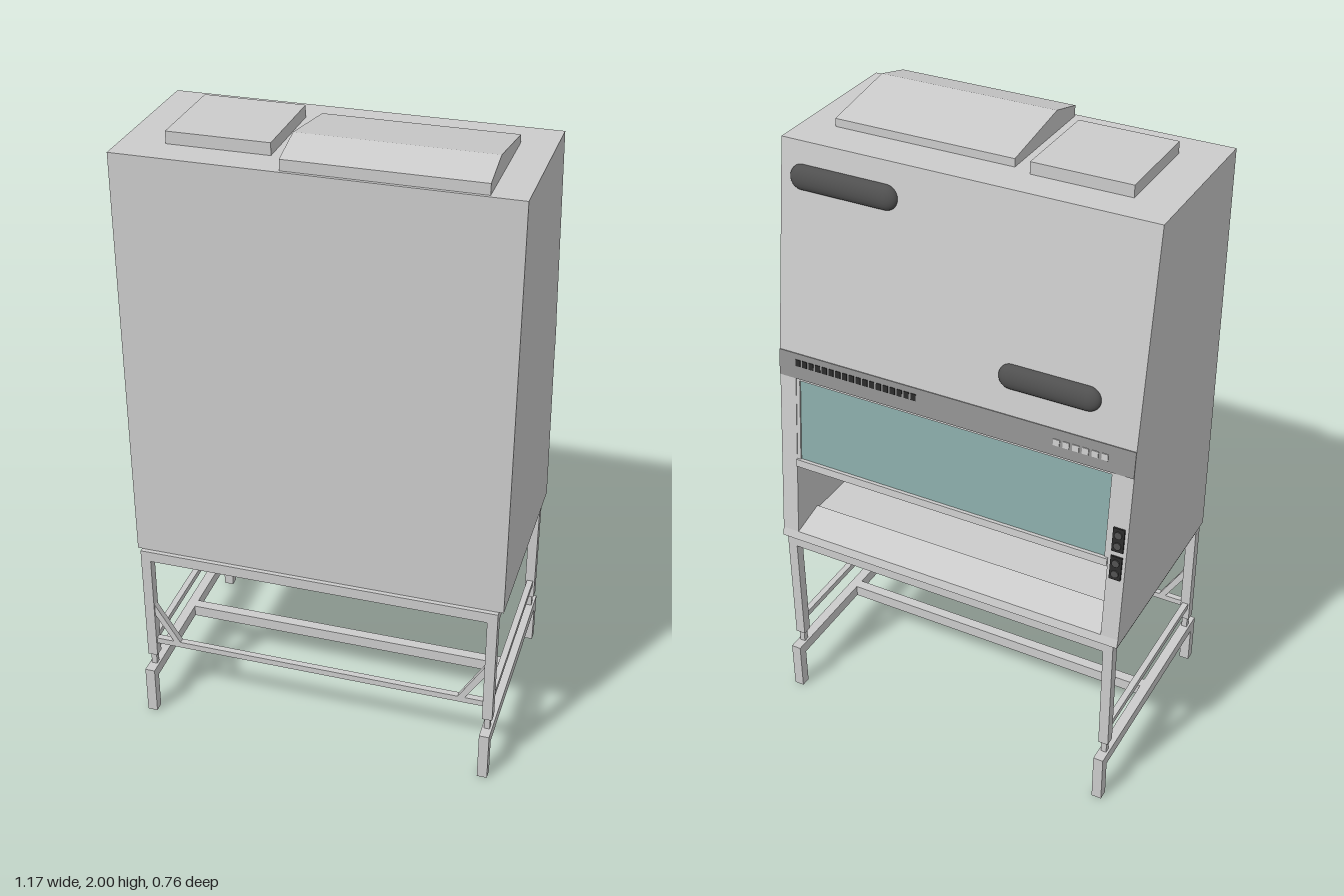
import * as THREE from 'three';

const mat = (color) => new THREE.MeshStandardMaterial({ color, flatShading: true });
const grey = mat(0xcccccc), bandGrey = mat(0x929292), dark = mat(0x505050), black = mat(0x2a2a2a), glassMat = mat(0x8aaba8);

// Outline of the sloping working face as [z, y], bottom to top
const FACE = [[-0.352, 0.615], [-0.345, 0.642], [-0.283, 1.28], [-0.188, 1.935]];
const W = 0.586, IN = 0.53, BACK = 0.332;

function faceAt(y) {
  let i = 0;
  while (i < FACE.length - 2 && y > FACE[i + 1][1]) i++;
  const [z0, y0] = FACE[i], [z1, y1] = FACE[i + 1];
  const slope = (z1 - z0) / (y1 - y0);
  return { z: z0 + slope * (y - y0), tilt: Math.atan(slope) };
}

export function createModel() {
  const model = new THREE.Group();

  const add = (name, geometry, material = grey, parent = model) => {
    const mesh = new THREE.Mesh(geometry, material);
    mesh.name = name;
    parent.add(mesh);
    return mesh;
  };
  const group = (name) => {
    const g = new THREE.Group();
    g.name = name;
    model.add(g);
    return g;
  };
  // Box given by its limits
  const box = (name, x0, x1, y0, y1, z0, z1, material = grey, parent = model) => {
    const m = add(name, new THREE.BoxGeometry(x1 - x0, y1 - y0, z1 - z0), material, parent);
    m.position.set((x0 + x1) / 2, (y0 + y1) / 2, (z0 + z1) / 2);
    return m;
  };
  // [z, y] outline swept along x
  const sweep = (name, points, x0, x1, material = grey, parent = model) => {
    const shape = new THREE.Shape(points.map(([z, y]) => new THREE.Vector2(-z, y)));
    const g = new THREE.ExtrudeGeometry(shape, { depth: x1 - x0, bevelEnabled: false });
    g.rotateY(Math.PI / 2).translate(x0, 0, 0);
    return add(name, g, material, parent);
  };
  // Lay a part on the sloping face, standing out by a given amount
  const onFace = (mesh, x, y, out = 0) => {
    const f = faceAt(y);
    mesh.position.set(x, y, f.z - out);
    mesh.rotation.x = f.tilt;
    return mesh;
  };

  // Cabinet shell: side walls, upper housing, rear wall, work floor
  const cabinet = group('cabinet');
  for (const [x0, x1] of [[-W, -IN], [IN, W]])
    sweep('sideWall', [...FACE, [BACK, 1.935], [BACK, 0.615]], x0, x1, grey, cabinet);
  sweep('upperHousing', [[faceAt(1.2).z, 1.2], FACE[2], FACE[3], [BACK, 1.935], [BACK, 1.2]], -IN, IN, grey, cabinet);
  box('rearWall', -IN, IN, 0.615, 1.2, 0.21, BACK, grey, cabinet);
  sweep('workFloor', [FACE[0], FACE[1], [-0.23, 0.67], [-0.225, 0.66], [0.21, 0.66], [0.21, 0.615]], -IN, IN, grey, cabinet);

  // Control band with vent slots and buttons
  const controls = group('controlBand');
  onFace(add('band', new THREE.BoxGeometry(2 * W, 0.085, 0.006), bandGrey, controls), 0, 1.238);
  for (let i = 0; i < 18; i++)
    onFace(add('ventSlot', new THREE.BoxGeometry(0.017, 0.022, 0.006), black, controls), 0.12 + i * 0.0235, 1.25, 0.002);
  for (let i = 0; i < 6; i++)
    onFace(add('button', new THREE.BoxGeometry(0.02, 0.02, 0.006), grey, controls), -0.345 - i * 0.03, 1.24, 0.003);

  // Sliding sash window with its frame
  const sash = group('sashWindow');
  const mid = 1.05;
  onFace(add('glass', new THREE.BoxGeometry(1.04, 0.3, 0.006), glassMat, sash), 0, mid, -0.01);
  onFace(add('bottomRail', new THREE.BoxGeometry(2 * IN, 0.025, 0.018), grey, sash), 0, 0.9, -0.003);
  onFace(add('topRail', new THREE.BoxGeometry(2 * IN, 0.012, 0.01), grey, sash), 0, 1.193, -0.007);
  for (const s of [-1, 1])
    onFace(add('sideRail', new THREE.BoxGeometry(0.012, 0.3, 0.012), grey, sash), s * 0.524, mid, -0.008);

  // Rounded lamp covers on the upper face
  for (const [x, y, length] of [[0.376, 1.83, 0.352], [-0.308, 1.4, 0.317]]) {
    const r = 0.038;
    const g = new THREE.CapsuleGeometry(r, length - 2 * r, 8, 20);
    g.rotateZ(Math.PI / 2).scale(1, 1, 0.6);
    const cover = onFace(add('lampCover', g, dark), x, y);
    cover.material = new THREE.MeshStandardMaterial({ color: 0x505050 });
  }

  // Sockets on the side post
  const sockets = group('sockets');
  for (const y of [0.89, 0.985]) {
    onFace(add('socketPlate', new THREE.BoxGeometry(0.036, 0.078, 0.008), black, sockets), -0.558, y, 0.002);
    for (const d of [-0.018, 0.018]) {
      const g = new THREE.CylinderGeometry(0.012, 0.012, 0.008, 12).rotateX(Math.PI / 2);
      onFace(add('socketFace', g, dark, sockets), -0.558, y + d, 0.006);
    }
  }

  // Service taps on the inner side wall
  const taps = group('serviceTaps');
  for (const y of [0.81, 0.92]) {
    const stem = add('tapStem', new THREE.CylinderGeometry(0.007, 0.007, 0.05, 10).rotateZ(Math.PI / 2), dark, taps);
    stem.position.set(-0.507, y, -0.15);
    const knob = add('tapKnob', new THREE.CylinderGeometry(0.015, 0.015, 0.012, 10).rotateZ(Math.PI / 2), dark, taps);
    knob.position.set(-0.482, y, -0.15);
    const spout = add('tapSpout', new THREE.CylinderGeometry(0.005, 0.005, 0.04, 8), dark, taps);
    spout.position.set(-0.495, y - 0.02, -0.15);
  }

  // Exhaust hood and filter cover on the roof
  sweep('exhaustHood', [[-0.062, 1.935], [-0.062, 1.96], [0.2, 2], [0.322, 1.968], [0.322, 1.935]], -0.092, 0.484);
  box('filterCover', -0.456, -0.148, 1.935, 1.972, -0.082, 0.226);

  // Stand: table frame on telescopic legs
  const stand = group('stand');
  const X0 = 0.54, X1 = 0.572, Z0 = 0.314, Z1 = 0.346;
  for (const s of [-1, 1]) {
    const [a, b] = s > 0 ? [X0, X1] : [-X1, -X0];
    const inner = s * (X0 + X1) / 2;
    for (const t of [-1, 1]) {
      const [c, d] = t > 0 ? [Z0, Z1] : [-Z1, -Z0];
      const zc = t * (Z0 + Z1) / 2;
      box('leg', a, b, 0.206, 0.615, c, d, grey, stand);
      box('innerLeg', inner - 0.009, inner + 0.009, 0.15, 0.21, zc - 0.009, zc + 0.009, grey, stand);
      const [e, f] = t > 0 ? [0.347, 0.379] : [-0.379, -0.347];
      box('foot', a, b, 0, 0.165, e, f, grey, stand);
    }
    box('topSideRail', a, b, 0.58, 0.615, -Z0, Z0, grey, stand);
    box('lowerSideRail', inner - 0.01, inner + 0.01, 0.252, 0.272, -Z0, Z0, grey, stand);
    box('baseSideBeam', a, b, 0.127, 0.165, -0.347, 0.347, grey, stand);
    // Diagonal brace
    const brace = new THREE.Shape([[0.54, 0.405], [0.54, 0.365], [0.48, 0.27], [0.458, 0.27]]
      .map(([x, y]) => new THREE.Vector2(s * x, y)));
    const g = new THREE.ExtrudeGeometry(brace, { depth: 0.02, bevelEnabled: false });
    add('brace', g.translate(0, 0, 0.32), grey, stand);
  }
  for (const [c, d] of [[-Z1, -Z0], [Z0, Z1]])
    box('topLongRail', -X0, X0, 0.58, 0.615, c, d, grey, stand);
  box('lowerLongRail', -X0, X0, 0.252, 0.272, 0.32, 0.34, grey, stand);
  box('baseLongBeam', -X0, X0, 0.127, 0.165, -0.017, 0.017, grey, stand);

  return model;
}
